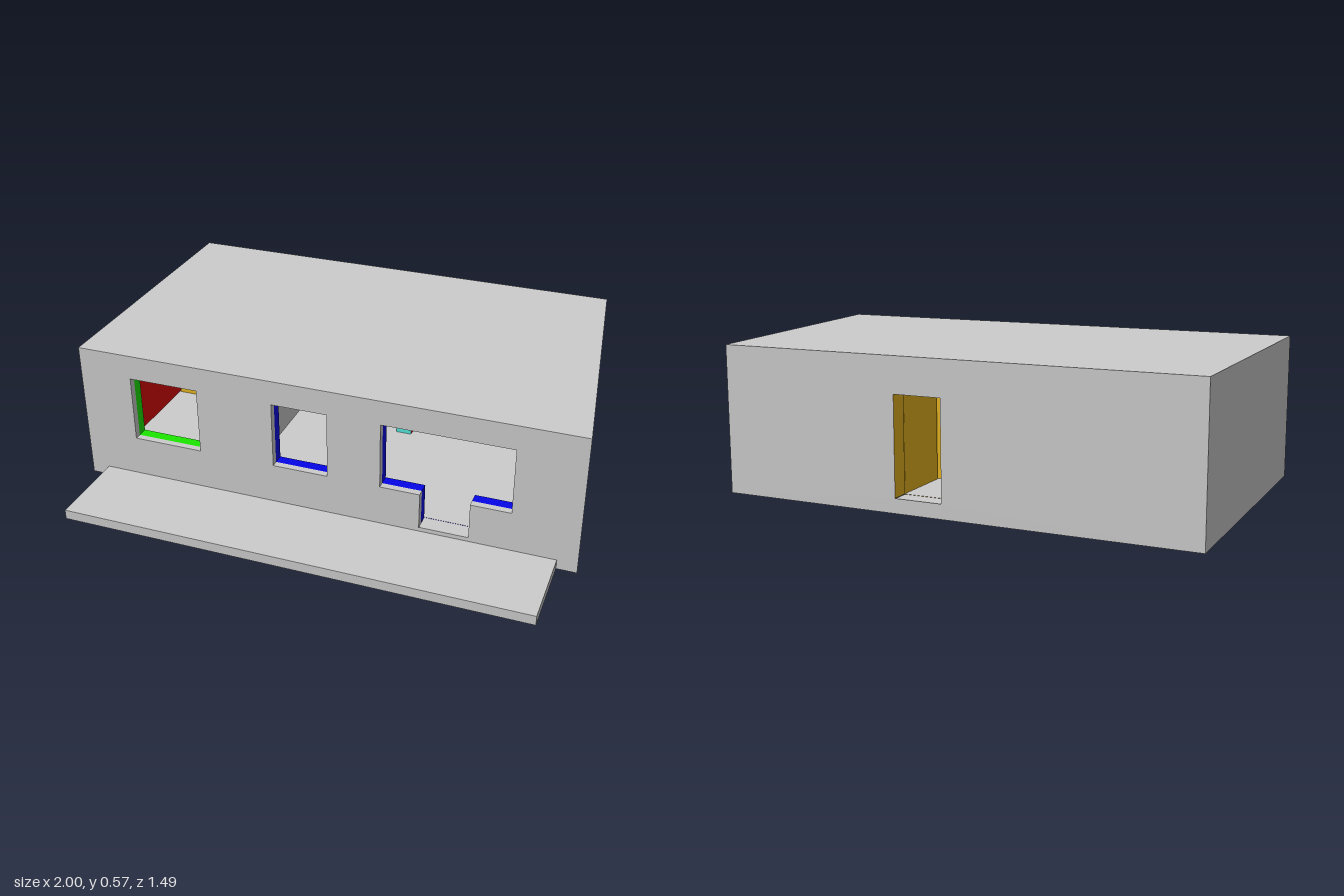
import * as THREE from 'three';

const mat = (name, color) => new THREE.MeshStandardMaterial({ name, color, side: THREE.DoubleSide });

export function createModel() {
  const house = new THREE.Group();
  house.name = 'house';
  const grey = mat('plaster grey', 0xcccccc);
  const gold = mat('gold', 0xe6b41e);
  const magenta = mat('magenta', 0xe833d6);
  const teal = mat('teal', 0x57e6da);
  const green = mat('green', 0x1efb00);
  const red = mat('red', 0xe00404);
  const blue = mat('blue', 0x0606f4);

  const H = 0.569, FLOOR = 0.055, CEIL = 0.565;
  const FRONT = 0.408, BACK = -0.743, IN_FRONT = 0.338, IN_BACK = -0.673;
  const floorSlots = [];

  const add = (name, geometry, material) => {
    const mesh = new THREE.Mesh(geometry, material);
    mesh.name = name;
    house.add(mesh);
    return mesh;
  };

  const shapeOf = pts => new THREE.Shape(pts.map(p => new THREE.Vector2(...p)));
  const rect = (x0, x1, y0, y1) => [[x0, y0], [x0, y1], [x1, y1], [x1, y0]];

  // Solid block given by its limits
  function block(name, material, x0, x1, y0, y1, z0, z1) {
    const m = add(name, new THREE.BoxGeometry(x1 - x0, y1 - y0, z1 - z0), material);
    m.position.set((x0 + x1) / 2, (y0 + y1) / 2, (z0 + z1) / 2);
  }

  // Upright sheet from plan point a to b, with openings outlined in (x, y)
  function panel(name, material, a, b, y0, y1, openings = []) {
    const dx = b[0] - a[0], dz = b[1] - a[1], len = Math.hypot(dx, dz);
    const shape = shapeOf([[0, y0], [len, y0], [len, y1], [0, y1]]);
    for (const o of openings)
      shape.holes.push(shapeOf(o.map(([x, y]) => [(x - a[0]) * Math.sign(dx), y])));
    const m = add(name, new THREE.ShapeGeometry(shape), material);
    m.position.set(a[0], 0, a[1]);
    m.rotation.y = Math.atan2(-dz, dx);
  }

  // Level sheet from a plan outline in (x, z)
  function deck(name, material, pts, y, slots = []) {
    const flat = outline => shapeOf(outline.map(([x, z]) => [x, -z]));
    const shape = flat(pts);
    shape.holes.push(...slots.map(flat));
    add(name, new THREE.ShapeGeometry(shape).rotateX(-Math.PI / 2).translate(0, y, 0), material);
  }

  // Hollow inner wall, open below; faces are front, right end, rear, left end
  function hollowWall(name, faces, x0, x1, z0, z1) {
    const c = [[x0, z1], [x1, z1], [x1, z0], [x0, z0]];
    c.forEach((p, i) => panel(name, faces[i], p, c[(i + 1) % 4], FLOOR, CEIL));
    floorSlots.push(rect(x0, x1, z0, z1));
  }

  // Lining of an opening between two depths; the floor closes a doorway's foot
  function reveal(name, material, outline, z0, z1) {
    const v = [];
    outline.forEach(([x, y], i) => {
      const [p, q] = outline[(i + 1) % outline.length];
      if (y <= FOOT && q <= FOOT) return;
      v.push(x, y, z0, p, q, z0, p, q, z1, x, y, z0, p, q, z1, x, y, z1);
    });
    const g = new THREE.BufferGeometry();
    g.setAttribute('position', new THREE.Float32BufferAttribute(v, 3));
    g.computeVertexNormals();
    add(name, g, material);
  }

  const FOOT = FLOOR + 0.001;
  const leftWindow = rect(-0.783, -0.5, 0.202, 0.47);
  const midWindow = rect(-0.19, 0.032, 0.202, 0.47);
  const entrance = [[0.242, 0.202], [0.242, 0.47], [0.745, 0.47], [0.745, 0.202],
    [0.59, 0.202], [0.59, FOOT], [0.398, FOOT], [0.398, 0.202]];
  const backDoor = rect(-0.05, 0.136, FOOT, 0.432);

  // Outer shell
  const plan = [[-1, FRONT], [1, FRONT], [0.855, BACK], [-1, BACK]];
  panel('frontWall', grey, plan[0], plan[1], 0, H, [leftWindow, midWindow, entrance]);
  panel('sideWall', grey, plan[1], plan[2], 0, H);
  panel('backWall', grey, plan[2], plan[3], 0, H, [backDoor]);
  panel('sideWall', grey, plan[3], plan[0], 0, H);
  deck('roof', grey, plan, H);
  block('porch', grey, -0.925, 0.923, 0, 0.039, FRONT, 0.743);

  // Linings of the openings: grey outside, coloured inside
  for (const [o, m] of [[leftWindow, green], [midWindow, blue], [entrance, blue]]) {
    reveal('outerReveal', grey, o, FRONT, 0.38);
    reveal('innerReveal', m, o, 0.38, IN_FRONT);
  }
  reveal('backDoorReveal', gold, backDoor, BACK, IN_BACK);

  // Inner faces of the outer walls
  panel('frontLining', green, [-0.93, IN_FRONT], [-0.365, IN_FRONT], FLOOR, CEIL, [leftWindow]);
  panel('frontLining', blue, [-0.365, IN_FRONT], [0.92, IN_FRONT], FLOOR, CEIL, [midWindow, entrance]);
  panel('sideLining', red, [-0.93, IN_BACK], [-0.93, IN_FRONT], FLOOR, CEIL);
  panel('sideLining', teal, [0.92, IN_FRONT], [0.795, IN_BACK], FLOOR, CEIL);
  panel('backLining', gold, [0.795, IN_BACK], [-0.93, IN_BACK], FLOOR, CEIL, [backDoor]);

  // Left room: rear wall with a doorway, and the wall towards the hall
  const allGold = [gold, gold, gold, gold], allGrey = [grey, grey, grey, grey];
  hollowWall('roomRearWall', allGold, -0.925, -0.615, -0.25, -0.23);
  block('roomDoorHeader', gold, -0.615, -0.372, 0.432, CEIL, -0.25, -0.23);
  hollowWall('hallDivider', [grey, grey, gold, blue], -0.372, -0.357, -0.32, 0.325);
  hollowWall('cornerPost', allGold, -0.41, -0.35, -0.39, -0.33);
  hollowWall('rearDivider', allGrey, -0.635, -0.617, -0.66, -0.58);

  // Hall: rear wall, door header and the wall beside the back door
  hollowWall('hallRearWall', [grey, grey, gold, grey], -0.34, -0.083, -0.4, -0.365);
  block('hallDoorHeader', teal, -0.083, 0.1, 0.432, CEIL, -0.4, -0.365);
  hollowWall('passagePost', [teal, red, gold, green], 0.1, 0.165, -0.41, -0.228);
  hollowWall('passageWall', [gold, red, gold, gold], 0.14, 0.163, -0.665, -0.42);

  // Main room rear wall
  block('mainRearWall', magenta, 0.167, 0.82, FLOOR + 0.003, CEIL, -0.46, -0.42);

  // Floor, reaching into both doorways and slotted under the hollow walls
  deck('floor', grey, [[-0.93, IN_FRONT], [0.398, IN_FRONT], [0.398, FRONT], [0.59, FRONT],
    [0.59, IN_FRONT], [0.92, IN_FRONT], [0.795, IN_BACK], [0.136, IN_BACK], [0.136, BACK],
    [-0.05, BACK], [-0.05, IN_BACK], [-0.93, IN_BACK]], FLOOR, floorSlots);

  return house;
}
